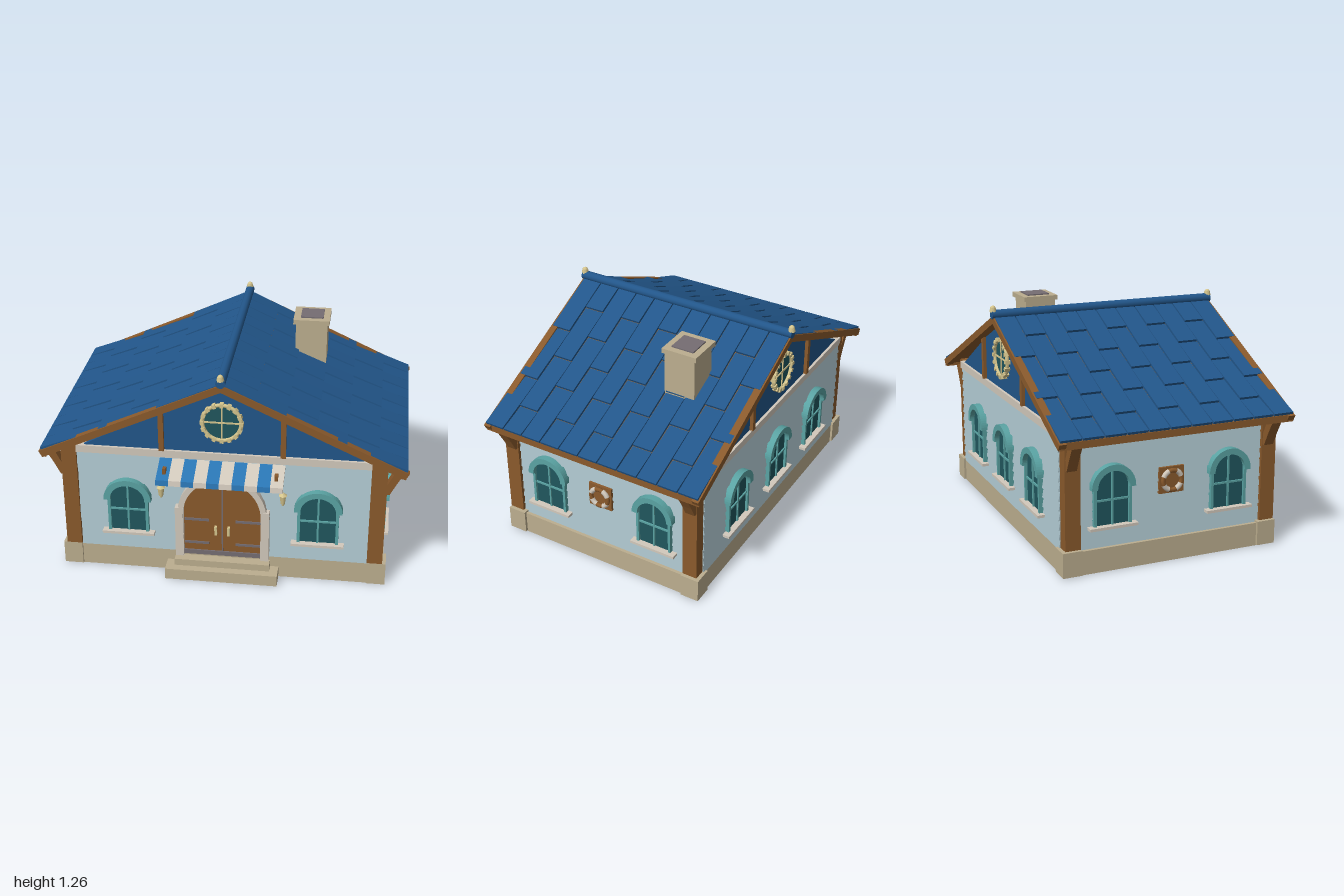
import * as THREE from 'three';

const mat = (name, color) => Object.assign(new THREE.MeshStandardMaterial({ color }), { name });
const M = {
  roof: mat('roofBlue', 0x22568a), wood: mat('wood', 0x8a5a2c), stone: mat('stone', 0xbcae8f),
  wall: mat('wallPaleBlue', 0xa8c0c8), trim: mat('trimOffWhite', 0xd2c9bc), teal: mat('frameTeal', 0x5aa3a3),
  glass: mat('glass', 0x20565e), stripe: mat('awningBlue', 0x2a76b4), brass: mat('brass', 0xd6c68e),
  grey: mat('greyMetal', 0x756d72),
};
const ZC = -0.035, HX = 0.86, HZ = 0.595; // house centre and wall half sizes

function add(parent, name, geo, material, x = 0, y = 0, z = 0) {
  const m = new THREE.Mesh(geo, material);
  m.name = name;
  m.position.set(x, y, z);
  parent.add(m);
  return m;
}
// Box given by its min and max on each axis
const box = (p, name, m, x0, x1, y0, y1, z0, z1) =>
  add(p, name, new THREE.BoxGeometry(x1 - x0, y1 - y0, z1 - z0), m, (x0 + x1) / 2, (y0 + y1) / 2, (z0 + z1) / 2);
const poly = pts => new THREE.Shape(pts.map(p => new THREE.Vector2(...p)));
const extrude = (shape, depth) => new THREE.ExtrudeGeometry(shape, { depth, bevelEnabled: false, curveSegments: 14 });
// Profile in (out, y), swept along x and centred
const sweep = (pts, length) => extrude(poly(pts), length).rotateY(-Math.PI / 2).translate(length / 2, 0, 0);
function arch(w, y0, yc, Type = THREE.Shape) {
  const s = new Type();
  s.moveTo(-w, y0); s.lineTo(w, y0); s.lineTo(w, yc);
  s.absarc(0, yc, w, 0, Math.PI, false);
  s.closePath();
  return s;
}
function archRing(outer, inner, y0, yc, depth) {
  const o = new THREE.Shape();
  o.moveTo(-outer, y0); o.lineTo(-inner, y0); o.lineTo(-inner, yc);
  o.absarc(0, yc, inner, Math.PI, 0, true);
  o.lineTo(inner, y0); o.lineTo(outer, y0); o.lineTo(outer, yc);
  o.absarc(0, yc, outer, 0, Math.PI, false);
  return extrude(o, depth);
}
// Group whose z = 0 lies on a wall and whose +z points outwards
function onWall(parent, name, side, u) {
  const g = new THREE.Group();
  g.name = name;
  const [x, z, r] = { front: [u, ZC + HZ, 0], back: [u, ZC - HZ, Math.PI],
    left: [HX, u, Math.PI / 2], right: [-HX, u, -Math.PI / 2] }[side];
  g.position.set(x, 0, z);
  g.rotation.y = r;
  parent.add(g);
  return g;
}

function archedWindow(house, side, u) {
  const g = onWall(house, 'archedWindow', side, u);
  if (side === 'front' || side === 'back') g.scale.x = 1.08;
  add(g, 'windowGlass', extrude(arch(0.092, 0.245, 0.455), 0.016), M.glass);
  add(g, 'windowFrame', archRing(0.105, 0.09, 0.245, 0.455, 0.03), M.teal);
  add(g, 'windowHood', archRing(0.122, 0.089, 0.45, 0.455, 0.045), M.teal);
  box(g, 'mullion', M.teal, -0.005, 0.005, 0.245, 0.545, 0.01, 0.024);
  box(g, 'crossbar', M.teal, -0.09, 0.09, 0.38, 0.39, 0.01, 0.024);
  box(g, 'windowSill', M.trim, -0.135, 0.135, 0.235, 0.25, 0, 0.05);
}

function lifeRing(house, side) {
  const g = onWall(house, 'lifeRing', side, ZC);
  box(g, 'lifeRingBoard', M.wood, -0.071, 0.071, 0.375, 0.517, 0, 0.022);
  for (let i = 0; i < 8; i++) {
    const seg = add(g, 'ringSegment', new THREE.TorusGeometry(0.053, i % 2 ? 0.012 : 0.014, 8, 5, Math.PI / 4),
      i % 2 ? M.wood : M.trim, 0, 0.446, 0.03);
    seg.rotation.z = i * Math.PI / 4 + Math.PI / 8;
  }
}

function entrance(house) {
  const g = onWall(house, 'entrance', 'front', 0);
  add(g, 'door', extrude(arch(0.22, 0.13, 0.4), 0.022), M.wood);
  add(g, 'doorSurround', archRing(0.245, 0.213, 0.12, 0.4, 0.045), M.trim);
  box(g, 'doorGap', M.grey, -0.004, 0.004, 0.15, 0.59, 0.02, 0.024);
  box(g, 'threshold', M.grey, -0.213, 0.213, 0.125, 0.152, 0, 0.03);
  for (const s of [-1, 1]) {
    const post = s * 0.238;
    box(g, 'surroundPost', M.trim, post - 0.022, post + 0.022, 0.12, 0.43, 0, 0.048);
    for (const y of [0.2, 0.35]) box(g, 'hinge', M.grey, s * 0.142 - 0.068, s * 0.142 + 0.068, y - 0.007, y + 0.007, 0.02, 0.027);
    box(g, 'doorHandle', M.brass, s * 0.036 - 0.007, s * 0.036 + 0.007, 0.262, 0.315, 0.02, 0.04);
    // Wall lamp
    add(g, 'lampBody', new THREE.CylinderGeometry(0.02, 0.013, 0.05, 6), M.brass, s * 0.333, 0.527, 0.045);
    add(g, 'lampCap', new THREE.ConeGeometry(0.025, 0.02, 6), M.brass, s * 0.333, 0.562, 0.045);
    add(g, 'lampFoot', new THREE.CylinderGeometry(0.009, 0.006, 0.014, 6), M.brass, s * 0.333, 0.497, 0.045);
    box(g, 'lampArm', M.wood, s * 0.333 - 0.006, s * 0.333 + 0.006, 0.52, 0.535, 0, 0.035);
    // Awning pegs
    box(g, 'awningPeg', M.wood, s * 0.3 - 0.009, s * 0.3 + 0.009, 0.672, 0.71, 0.085, 0.115);
  }
  const profile = [[0, 0.705], [0.145, 0.65], [0.15, 0.63], [0.16, 0.632], [0.155, 0.662], [0, 0.722]];
  for (let i = 0; i < 10; i++)
    add(g, 'awningStripe', sweep(profile, 0.068), i % 2 ? M.trim : M.stripe, -0.306 + i * 0.068);
  box(g, 'lowerStep', M.stone, -0.313, 0.313, 0, 0.065, 0, 0.11);
  box(g, 'upperStep', M.stone, -0.265, 0.265, 0.065, 0.105, 0, 0.065);
}

function walls(house) {
  box(house, 'wallCore', M.wall, -HX, HX, 0.1, 0.75, ZC - HZ, ZC + HZ);
  // Lapped boards, each thicker at its lower edge
  const boards = [[-0.01, 0.13]];
  for (let i = 0; i < 12; i++) boards.push([0.012, 0.13 + i * 0.052], [0.002, 0.13 + (i + 1) * 0.052]);
  boards.push([-0.01, 0.754]);
  for (const side of ['front', 'back', 'left', 'right']) {
    const wide = side === 'front' || side === 'back';
    add(onWall(house, side + 'Wall', side, wide ? 0 : ZC), 'siding', sweep(boards, wide ? 1.64 : 1.12), M.wall);
  }
  box(house, 'foundation', M.stone, -0.89, 0.89, 0, 0.13, ZC - 0.605, ZC + 0.605);
  for (const sx of [-1, 1]) for (const sz of [-1, 1]) {
    const x = sx * 0.8525, z = ZC + sz * 0.565;
    box(house, 'cornerPlinth', M.stone, x - 0.0525, x + 0.0525, 0.005, 0.14, z - 0.053, z + 0.053);
    box(house, 'cornerPost', M.wood, sx * 0.8425 - 0.0425, sx * 0.8425 + 0.0425, 0.14, 0.772, z - 0.032, z + 0.053);
    const brace = [[0.88, 0.57], [0.9, 0.57], [0.935, 0.64], [0.975, 0.71], [0.93, 0.72], [0.885, 0.63]];
    const b = add(house, 'eaveBrace', extrude(poly(brace), 0.055).translate(0, 0, -0.0275), M.wood, 0, 0, z);
    if (sx < 0) b.rotation.y = Math.PI;
  }
}

function gable(house, side) {
  const g = onWall(house, 'gable', side, 0);
  const outline = [[-0.77, 0.765], [0.77, 0.765], [0.33, 1.01], [0, 1.165], [-0.33, 1.01]];
  add(g, 'gablePanel', extrude(poly(outline), 0.02), M.roof, 0, 0, -0.01);
  box(g, 'gableBeam', M.trim, -0.8, 0.8, 0.73, 0.772, -0.03, 0.025);
  for (const s of [-1, 1]) box(g, 'gablePost', M.wood, s * 0.328 - 0.014, s * 0.328 + 0.014, 0.77, 1.02, 0, 0.03);
  // Round window with a knobbed ring
  const w = new THREE.Group();
  w.name = 'roundWindow';
  w.position.set(0, 0.96, 0.01);
  g.add(w);
  add(w, 'roundGlass', new THREE.CylinderGeometry(0.1, 0.1, 0.012, 32).rotateX(Math.PI / 2), M.glass, 0, 0, 0.006);
  add(w, 'roundFrame', new THREE.TorusGeometry(0.104, 0.011, 8, 36), M.brass, 0, 0, 0.015);
  for (let i = 0; i < 16; i++) {
    const a = i * Math.PI / 8;
    add(w, 'ringKnob', new THREE.BoxGeometry(0.022, 0.02, 0.03), M.brass, Math.cos(a) * 0.105, Math.sin(a) * 0.105, 0.015).rotation.z = a;
  }
  box(w, 'roundMullion', M.brass, -0.004, 0.004, -0.1, 0.1, 0.01, 0.018);
  box(w, 'roundCrossbar', M.brass, -0.1, 0.1, -0.004, 0.004, 0.01, 0.018);
}

function roof(house) {
  const g = new THREE.Group();
  g.name = 'roof';
  g.position.z = ZC;
  house.add(g);
  const line = x => 1.2 - 0.457 * x;
  const surf = x => line(x) - 0.003 - 0.016 * Math.sin(Math.PI * x); // gently sagging surface
  for (const turn of [0, Math.PI]) {
    const half = new THREE.Group();
    half.name = 'roofHalf';
    half.rotation.y = turn;
    g.add(half);
    const top = [0.98, 0.75, 0.5, 0.25, 0].map(x => [x, surf(x) - 0.006]);
    add(half, 'roofDeck', extrude(poly([[0, 1.16], [0.98, line(0.98) - 0.035], ...top]), 1.3), M.wood, 0, 0, -0.65);
    for (const z of [-0.665, 0.625])
      add(half, 'rakeBeam', extrude(poly([[0, 1.158], [0.975, line(0.975) - 0.045], [0.995, line(0.995)], [0, 1.2]]), 0.04), M.wood, 0, 0, z);
    box(half, 'eaveFascia', M.wood, 0.955, 0.98, 0.71, 0.748, -0.66, 0.66);
    // Staggered tiles, lower end raised
    for (let r = 0; r < 11; r++) {
      const cuts = r % 2 ? [0, 0.18, 0.5, 0.83, 0.985] : [0, 0.34, 0.66, 0.985];
      for (let i = 0; i + 1 < cuts.length; i++) {
        const x0 = cuts[i], x1 = cuts[i + 1], y0 = surf(x0), y1 = surf(x1) + 0.011;
        const t = add(half, 'roofTile', new THREE.BoxGeometry(Math.hypot(x1 - x0, y1 - y0), 0.014, 0.113), M.roof,
          (x0 + x1) / 2, (y0 + y1) / 2, (r - 5) * 0.12);
        t.rotation.z = Math.atan2(y1 - y0, x1 - x0);
      }
    }
  }
  add(g, 'ridge', new THREE.CylinderGeometry(0.026, 0.026, 1.34, 12).rotateX(Math.PI / 2), M.roof, 0, 1.209, 0);
  for (const s of [-1, 1]) {
    add(g, 'finialBase', new THREE.CylinderGeometry(0.017, 0.021, 0.02, 8), M.brass, 0, 1.234, s * 0.66);
    add(g, 'finialKnob', new THREE.SphereGeometry(0.016, 10, 8), M.brass, 0, 1.243, s * 0.66);
  }
}

function chimney(house) {
  box(house, 'chimneyStack', M.stone, 0.32, 0.5, 0.95, 1.21, -0.39, -0.21);
  box(house, 'chimneyCap', M.stone, 0.305, 0.512, 1.205, 1.232, -0.405, -0.2);
  box(house, 'chimneyFlue', M.grey, 0.345, 0.475, 1.225, 1.239, -0.368, -0.238);
}

export function createModel() {
  const house = new THREE.Group();
  house.name = 'house';
  walls(house);
  for (const side of ['front', 'back']) gable(house, side);
  roof(house);
  chimney(house);
  entrance(house);
  for (const x of [-0.525, 0.525]) archedWindow(house, 'front', x);
  for (const x of [-0.47, 0, 0.47]) archedWindow(house, 'back', x);
  for (const side of ['left', 'right']) {
    for (const z of [0.3, -0.37]) archedWindow(house, side, z);
    lifeRing(house, side);
  }
  return house;
}
